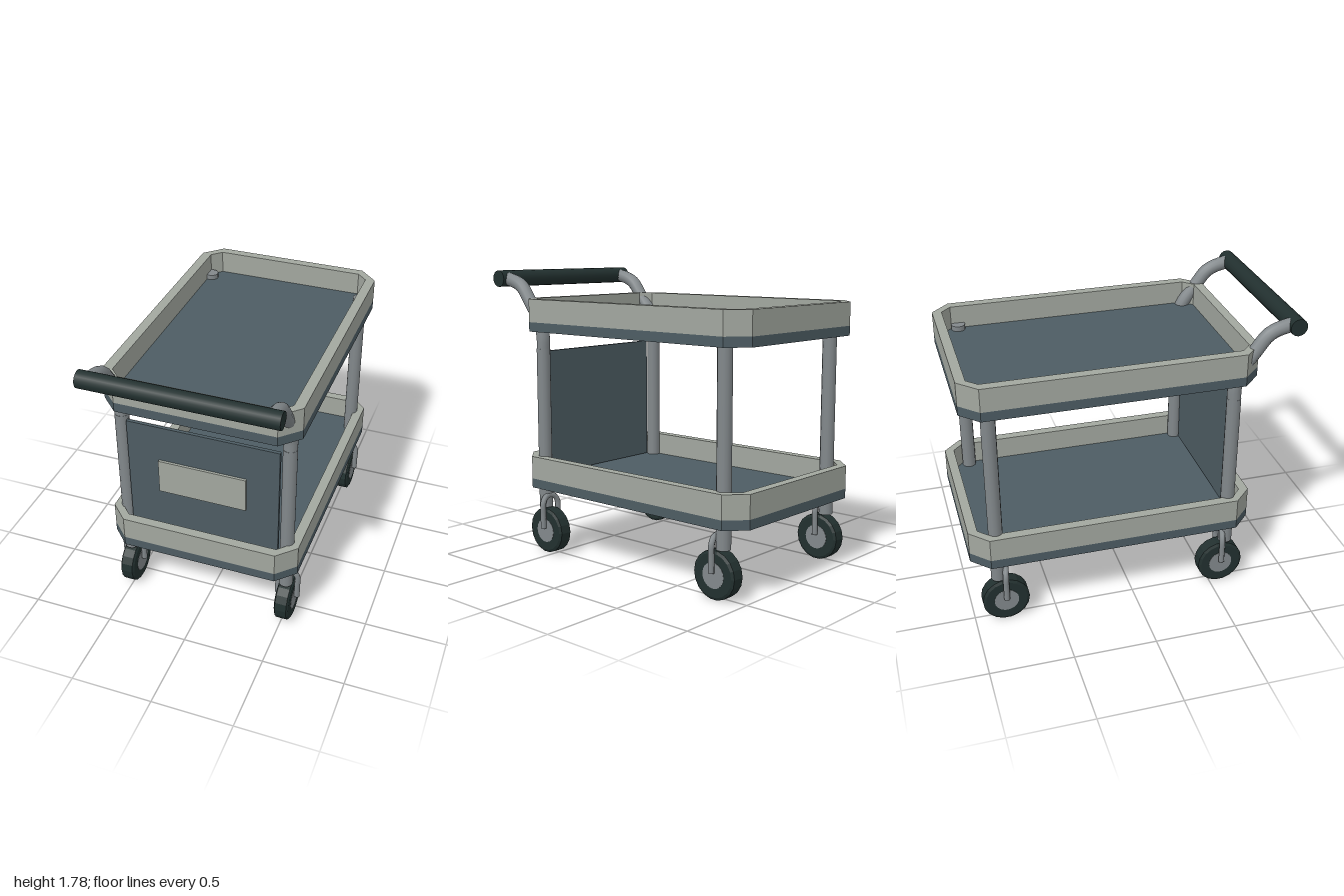
import * as THREE from 'three';

const material = (name, color, extra = {}) => {
  const m = new THREE.MeshStandardMaterial({ color, ...extra });
  m.name = name;
  return m;
};

export function createModel() {
  const cream = material('warm grey rim', 0xa2a79f);
  const slate = material('slate', 0x4d5c63);
  const metal = material('metal', 0x82888b);
  const rubber = material('dark rubber', 0x22302f);

  const cart = new THREE.Group();
  cart.name = 'serviceCart';

  const add = (name, geometry, mat, x = 0, y = 0, z = 0, parent = cart) => {
    const mesh = new THREE.Mesh(geometry, mat);
    mesh.name = name;
    mesh.position.set(x, y, z);
    parent.add(mesh);
    return mesh;
  };

  // Rectangle with cut corners, as outline points
  const octagon = (w, d, c) => [
    [w - c, -d], [w, c - d], [w, d - c], [w - c, d],
    [c - w, d], [-w, d - c], [-w, c - d], [c - w, -d],
  ].map(([x, y]) => new THREE.Vector2(x, y));

  const slab = (shape, height) =>
    new THREE.ExtrudeGeometry(shape, { depth: height, bevelEnabled: false }).rotateX(-Math.PI / 2);

  const tube = (points, radius, segments, sides) =>
    new THREE.TubeGeometry(
      new THREE.CatmullRomCurve3(points.map((p) => new THREE.Vector3(...p))),
      segments, radius, sides);

  // Trays: slate base with a raised hollow rim
  const trayZ = -0.125;
  const rimShape = new THREE.Shape(octagon(0.59, 0.875, 0.11));
  rimShape.holes.push(new THREE.Path(octagon(0.53, 0.818, 0.06)));
  const baseShape = new THREE.Shape(octagon(0.59, 0.875, 0.11));
  for (const [name, y] of [['lowerTray', 0.42], ['upperTray', 1.41]]) {
    const tray = new THREE.Group();
    tray.name = name;
    tray.position.set(0, y, trayZ);
    cart.add(tray);
    add('trayBase', slab(baseShape, 0.058), slate, 0, 0, 0, tray);
    add('trayRim', slab(rimShape, 0.142), cream, 0, 0.058, 0, tray);
  }

  // Posts, with the front pair bending into the handle arms
  const post = (name, x, z, top) =>
    add(name, new THREE.CylinderGeometry(0.043, 0.043, top - 0.29, 12), metal, x, (top + 0.29) / 2, z);

  // Caster: tyre, hub and a bent fork on each side
  const caster = (x, z) => {
    const group = new THREE.Group();
    group.name = 'caster';
    group.position.set(x, 0.143, z);
    cart.add(group);
    const tyreProfile = [
      [0.07, -0.045], [0.127, -0.045], [0.143, -0.036],
      [0.143, 0.036], [0.127, 0.045], [0.07, 0.045],
    ].map(([r, h]) => new THREE.Vector2(r, h));
    const tyre = new THREE.LatheGeometry(tyreProfile, 18).toNonIndexed();
    tyre.computeVertexNormals();
    add('tyre', tyre.rotateZ(Math.PI / 2), rubber, 0, 0, 0, group);
    add('hub', new THREE.CylinderGeometry(0.075, 0.075, 0.094, 18).rotateZ(Math.PI / 2), metal, 0, 0, 0, group);
    add('axle', new THREE.CylinderGeometry(0.013, 0.013, 0.13, 8).rotateZ(Math.PI / 2), metal, 0, 0.03, 0, group);
    for (const side of [-1, 1]) {
      const prong = [
        [0, 0.225, 0.01], [side * 0.035, 0.215, 0.005], [side * 0.06, 0.18, 0],
        [side * 0.061, 0.1, 0], [side * 0.061, 0.02, 0],
      ];
      add('forkProng', tube(prong, 0.018, 14, 8), metal, 0, 0, 0, group);
      add('forkEnd', new THREE.CylinderGeometry(0.018, 0.018, 0.004, 8), metal, side * 0.061, 0.02, 0, group);
    }
  };

  for (const side of [-1, 1]) {
    const x = side * 0.51;
    post('rearPost', x, -0.843, 1.5);
    post('frontPost', x, 0.602, 1.3);
    const arm = [
      [x, 1.28, 0.602], [x, 1.38, 0.603], [x, 1.47, 0.63], [x, 1.585, 0.715],
      [x, 1.675, 0.785], [x, 1.705, 0.84], [x, 1.73, 0.94],
    ];
    add('handleArm', tube(arm, 0.042, 20, 12), metal);
    caster(x, 0.565);
    caster(x, -0.807);
  }

  // Push handle
  add('handleGrip', new THREE.CylinderGeometry(0.052, 0.052, 1.14, 16).rotateZ(Math.PI / 2), rubber, 0, 1.728, 0.948);

  // Front panel and its blank plate
  add('frontPanel', new THREE.BoxGeometry(0.93, 0.795, 0.022), slate, 0, 0.8825, 0.634);
  add('panelPlate', new THREE.BoxGeometry(0.54, 0.22, 0.016), cream, 0, 0.94, 0.653);

  return cart;
}
